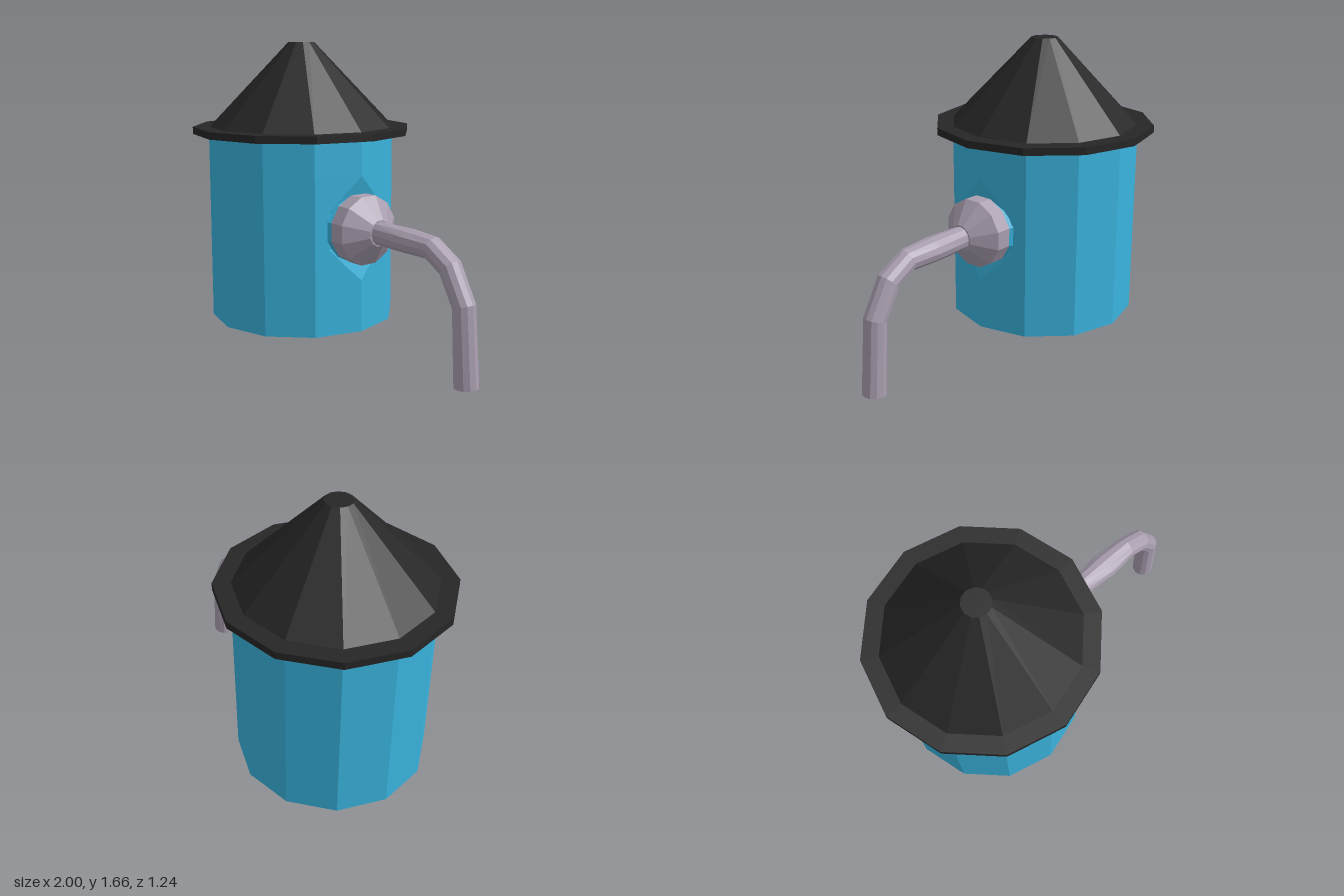
import * as THREE from 'three';

const CX = -0.38;   // axis of the tank
const PY = 0.667;   // height of the spout axis

function material(name, color) {
  const m = new THREE.MeshStandardMaterial({ color, flatShading: true });
  m.name = name;
  return m;
}

// Skins a list of closed loops, with flat caps on both ends
function loft(loops) {
  const pos = [];
  const tri = (...pts) => pts.forEach((p) => pos.push(p.x, p.y, p.z));
  const n = loops[0].length;
  for (let i = 0; i < loops.length - 1; i++) {
    for (let j = 0; j < n; j++) {
      const k = (j + 1) % n;
      const a = loops[i], b = loops[i + 1];
      tri(a[j], a[k], b[k]);
      tri(a[j], b[k], b[j]);
    }
  }
  const centre = (l) => l.reduce((s, p) => s.add(p), new THREE.Vector3()).divideScalar(n);
  const first = loops[0], last = loops[loops.length - 1];
  const c0 = centre(first), c1 = centre(last);
  for (let j = 0; j < n; j++) {
    const k = (j + 1) % n;
    tri(c0, first[k], first[j]);
    tri(c1, last[j], last[k]);
  }
  const g = new THREE.BufferGeometry();
  g.setAttribute('position', new THREE.Float32BufferAttribute(pos, 3));
  g.computeVertexNormals();
  return g;
}

// Twelve-sided outline whose +x corner is cut off at the plane x = cut
function tankLoop(y, cut) {
  const r = 0.53;
  const loop = [];
  for (let i = 1; i < 12; i++) {
    const t = (i * Math.PI) / 6;
    loop.push(new THREE.Vector3(CX + r * Math.cos(t), y, -r * Math.sin(t)));
  }
  const x0 = CX + r;
  const halfZ = ((x0 - cut) / (x0 - loop[0].x)) * -loop[0].z;
  loop.push(new THREE.Vector3(cut, y, halfZ), new THREE.Vector3(cut, y, -halfZ));
  return loop;
}

// Tube around a bent centre line; each row is x, y, radius, sideways radius
function pipe(rows, sides) {
  const pts = rows.map(([x, y]) => new THREE.Vector3(x, y, 0));
  const dir = (i) => pts[i + 1].clone().sub(pts[i]).normalize();
  return loft(rows.map(([x, y, r, rz], i) => {
    const before = dir(Math.max(i - 1, 0));
    const after = dir(Math.min(i, pts.length - 2));
    const d = before.add(after).normalize();
    return Array.from({ length: sides }, (_, j) => {
      const t = (j / sides) * Math.PI * 2;
      const c = r * Math.cos(t);
      return new THREE.Vector3(x - d.y * c, y + d.x * c, rz * Math.sin(t));
    });
  }));
}

// Twelve-sided drum or cone lying along x, with flats facing up and sideways
function sideDrum(x0, x1, r0, r1) {
  return new THREE.CylinderGeometry(r1, r0, x1 - x0, 12)
    .rotateY(Math.PI / 12)
    .rotateZ(-Math.PI / 2)
    .translate((x0 + x1) / 2, PY, 0);
}

// Upright twelve-sided drum or cone on the tank axis
function uprightDrum(y0, y1, r0, r1) {
  return new THREE.CylinderGeometry(r1, r0, y1 - y0, 12).translate(CX, (y0 + y1) / 2, 0);
}

export function createModel() {
  const group = new THREE.Group();
  const blue = material('blue paint', 0x3ab4de);
  const black = material('black paint', 0x262626);
  const metal = material('grey metal', 0xaa9fb0);
  const add = (name, geometry, mat) => {
    const mesh = new THREE.Mesh(geometry, mat);
    mesh.name = name;
    group.add(mesh);
  };

  // Tank, dented where the spout joins: each row is height, cut plane
  const levels = [
    [0.09, 0.1499], [0.38, 0.1499], [0.48, 0.122], [0.57, 0.1],
    [0.765, 0.1], [0.855, 0.122], [0.955, 0.1499], [1.155, 0.1499],
  ];
  add('tank', loft(levels.map(([y, cut]) => tankLoop(y, cut))), blue);
  add('spoutSeat', sideDrum(0.095, 0.122, 0.204, 0.19), blue);

  // Lid
  add('lidBrim', uprightDrum(1.15, 1.19, 0.62, 0.62), black);
  add('lidCone', uprightDrum(1.185, 1.66, 0.53, 0.075), black);

  // Spout
  add('flange', sideDrum(0.118, 0.205, 0.192, 0.192), metal);
  add('flangeCone', sideDrum(0.205, 0.3, 0.192, 0.072), metal);
  add('spoutPipe', pipe([
    [0.27, PY, 0.064, 0.06],
    [0.52, PY - 0.002, 0.064, 0.078],
    [0.685, 0.658, 0.061, 0.064],
    [0.81, 0.582, 0.061, 0.063],
    [0.905, 0.41, 0.06, 0.062],
    [0.932, 0.006, 0.065, 0.063],
  ], 12), metal);

  return group;
}
